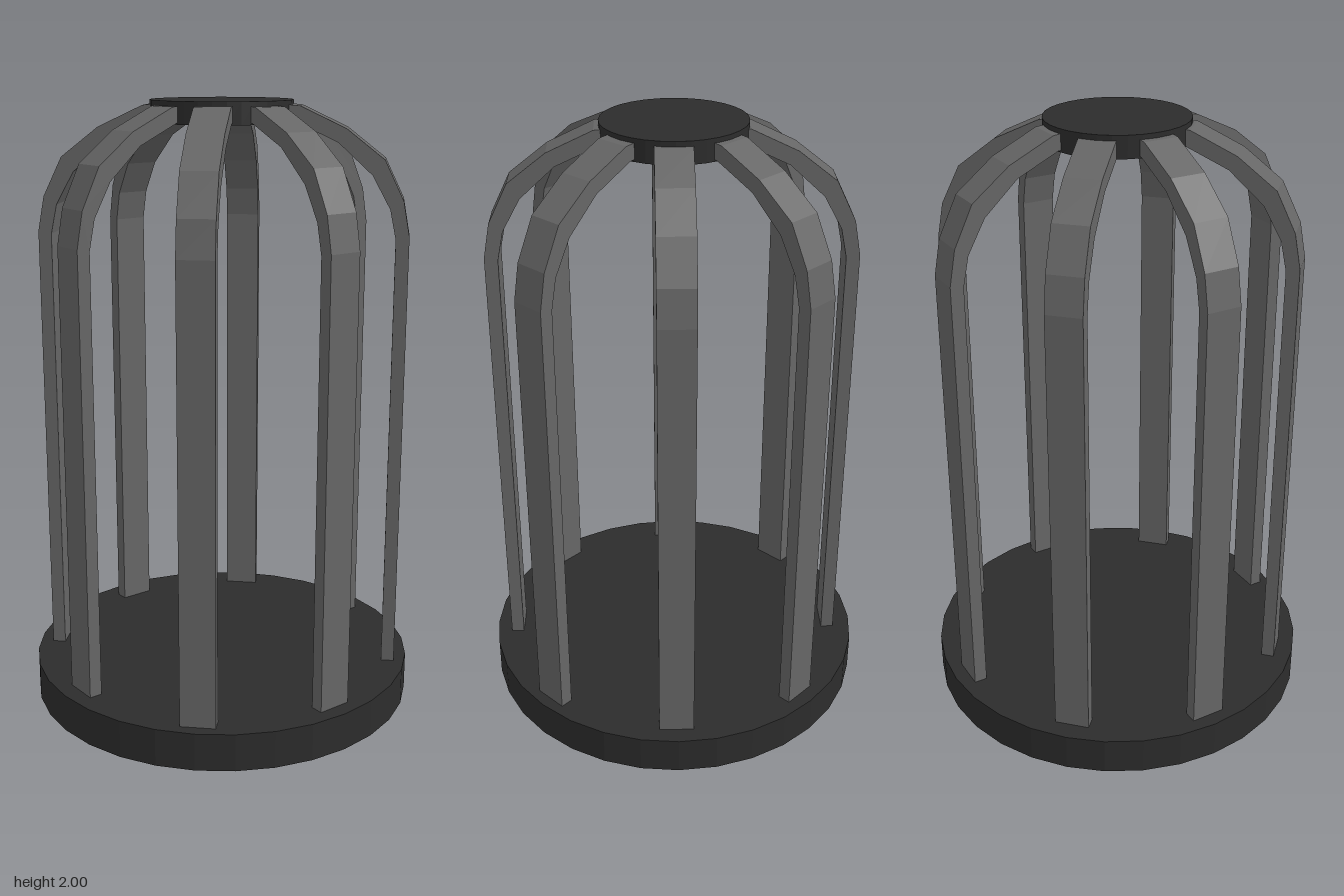
import * as THREE from 'three';

const darkMat = new THREE.MeshStandardMaterial({ color: 0x2c2c2c, flatShading: true });
const barMat = new THREE.MeshStandardMaterial({ color: 0x666666, flatShading: true });

const BAR_WIDTH = 0.114;

// Bar side profile as [radius, height]: outer edge upward, then inner edge downward
const outer = [[0.585, 0.11], [0.585, 1.58], [0.564, 1.693], [0.502, 1.82], [0.38, 1.915], [0.235, 1.983], [0.16, 1.99]];
const inner = [[0.14, 1.945], [0.22, 1.935], [0.355, 1.872], [0.464, 1.772], [0.522, 1.667], [0.542, 1.572], [0.542, 0.11]];

function disc(name, radius, bottom, top) {
  const geo = new THREE.CylinderGeometry(radius, radius, top - bottom, 32);
  geo.translate(0, (top + bottom) / 2, 0);
  const mesh = new THREE.Mesh(geo, darkMat);
  mesh.name = name;
  return mesh;
}

export function createModel() {
  const model = new THREE.Group();
  model.name = 'cage';

  // Base plate and top cap
  model.add(disc('base', 0.643, 0, 0.125));
  model.add(disc('topCap', 0.228, 1.93, 2));

  // Eight flat bars, curving inward to the cap
  const shape = new THREE.Shape([...outer, ...inner].map(([r, y]) => new THREE.Vector2(r, y)));
  const barGeo = new THREE.ExtrudeGeometry(shape, { depth: BAR_WIDTH, bevelEnabled: false });
  barGeo.translate(0, 0, -BAR_WIDTH / 2);

  const bars = new THREE.Group();
  bars.name = 'bars';
  bars.position.x = 0.006;
  for (let i = 0; i < 8; i++) {
    const angle = (i * Math.PI) / 4;
    const outset = i % 2 ? 0.014 : 0; // diagonal bars stand slightly further out
    const bar = new THREE.Mesh(barGeo, barMat);
    bar.name = 'bar' + (i + 1);
    bar.rotation.y = angle;
    bar.position.set(Math.cos(angle) * outset, 0, -Math.sin(angle) * outset);
    bars.add(bar);
  }
  model.add(bars);
  return model;
}
